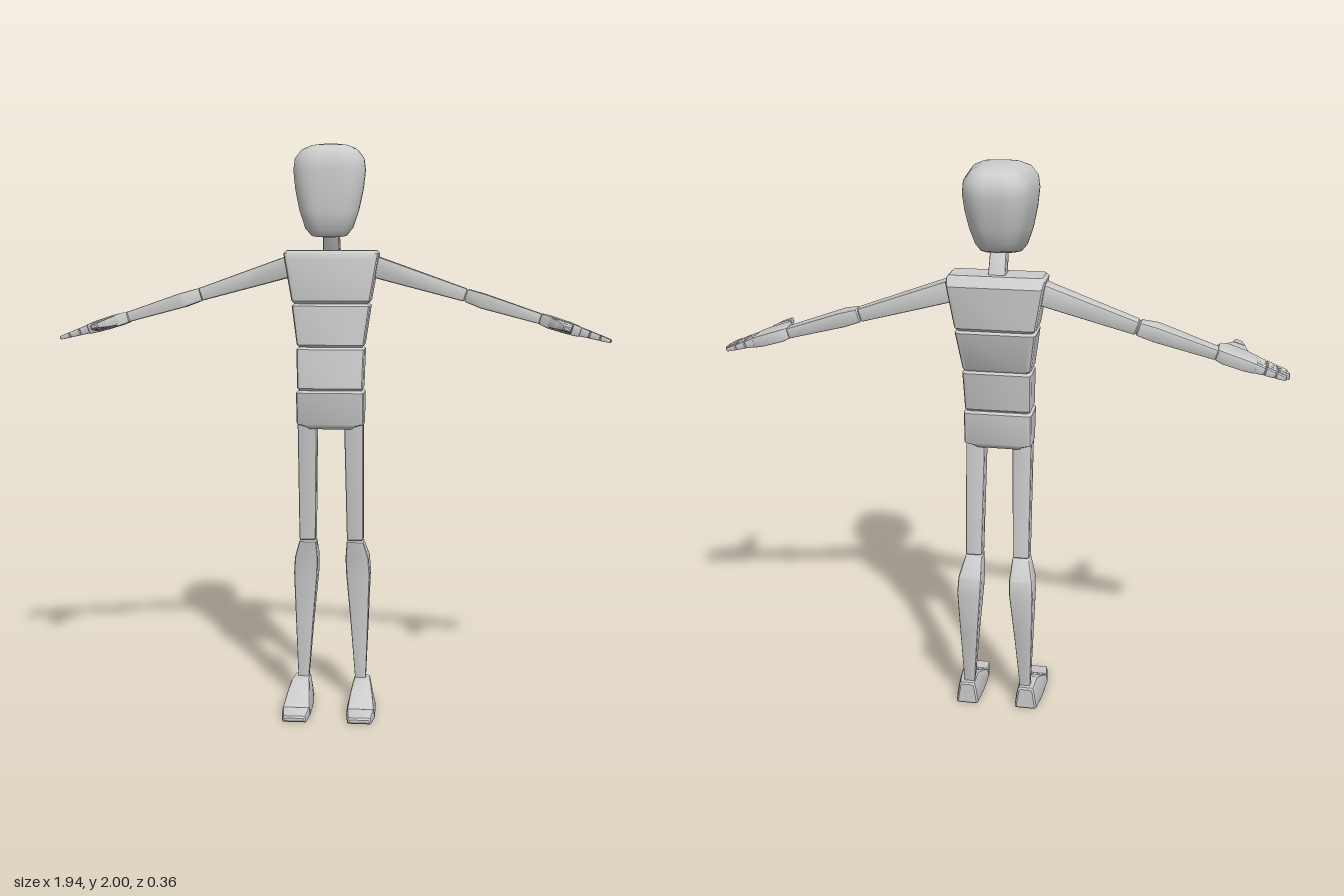
import * as THREE from 'three';
import { toCreasedNormals } from 'three/addons/utils/BufferGeometryUtils.js';

const material = new THREE.MeshStandardMaterial({ color: 0xcccccc });

// Section: [t, u0, u1, v0, v1, taper, tilt]; taper widens u towards v1, tilt leans t along v.
// Axis 'y': u = x, v = z.  Axis 'x': u = y, v = z.  Axis 'z': u = x, v = y.
const place = {
  x: (u, v, t) => [t, u, v],
  y: (u, v, t) => [u, t, v],
  z: (u, v, t) => [u, v, t],
};

function loft(axis, sections, round = 0.25, steps = 2) {
  const pos = [], index = [], n = 4 * (steps + 1);
  for (const [t, u0, u1, v0, v1, taper = 0, tilt = 0] of sections) {
    const hu = (u1 - u0) / 2, hv = (v1 - v0) / 2, r = round * Math.min(hu, hv);
    for (let c = 0; c < 4; c++) for (let i = 0; i <= steps; i++) {
      const a = (c + i / steps) * Math.PI / 2;
      const su = c === 0 || c === 3 ? 1 : -1, sv = c < 2 ? 1 : -1;
      const dv = sv * (hv - r) + r * Math.sin(a);
      const du = (su * (hu - r) + r * Math.cos(a)) * (1 + taper * dv / hv);
      const v = (v0 + v1) / 2 + dv;
      pos.push(...place[axis]((u0 + u1) / 2 + du, v, t + tilt * v));
    }
  }
  const rows = sections.length;
  for (let j = 0; j < rows - 1; j++) for (let i = 0; i < n; i++) {
    const a = j * n + i, b = j * n + (i + 1) % n;
    index.push(a, b, b + n, a, b + n, a + n);
  }
  // End caps
  for (const row of [0, rows - 1]) {
    const [t, u0, u1, v0, v1, , tilt = 0] = sections[row];
    const v = (v0 + v1) / 2, centre = pos.length / 3;
    pos.push(...place[axis]((u0 + u1) / 2, v, t + tilt * v));
    for (let i = 0; i < n; i++) {
      const a = row * n + i, b = row * n + (i + 1) % n;
      if (row === 0) index.push(centre, b, a); else index.push(centre, a, b);
    }
  }
  const geo = new THREE.BufferGeometry();
  geo.setAttribute('position', new THREE.Float32BufferAttribute(pos, 3));
  geo.setIndex(index);
  return axis === 'y' ? flip(geo) : geo;
}

function flip(geo) {
  geo.setIndex(Array.from(geo.index.array).reverse());
  return geo;
}

// Loft whose two ends have bevelled rims; sections run in increasing t
function block(axis, sections, bevel = 0.008, round = 0.25) {
  const inset = ([t, u0, u1, v0, v1, ...rest]) =>
    [t, u0 + bevel, u1 - bevel, v0 + bevel, v1 - bevel, ...rest];
  const shift = ([t, ...rest], d) => [t + d, ...rest];
  const first = sections[0], last = sections[sections.length - 1];
  return loft(axis, [inset(first), shift(first, bevel), ...sections.slice(1, -1),
    shift(last, -bevel), inset(last)], round);
}

export function createModel() {
  const model = new THREE.Group();
  model.name = 'mannequin';

  const add = (name, geo, crease = 0.55) => {
    const mesh = new THREE.Mesh(toCreasedNormals(geo, crease), material);
    mesh.name = name;
    model.add(mesh);
  };
  const addPair = (name, geo, matrix) => {
    if (matrix) geo.applyMatrix4(matrix);
    add(name + 'Left', geo);
    add(name + 'Right', flip(geo.clone().scale(-1, 1, 1)));
  };

  // Head: rounded block with a sloping jaw, narrower at the back
  const headRows = [
    [1.7, 0.04, -0.085, 0.07, -0.2],
    [1.705, 0.058, -0.11, 0.092, -0.2],
    [1.73, 0.077, -0.132, 0.11, -0.19],
    [1.785, 0.096, -0.15, 0.119, -0.13],
    [1.85, 0.11, -0.165, 0.121, -0.06],
    [1.91, 0.117, -0.175, 0.12, 0],
    [1.95, 0.112, -0.174, 0.115, 0],
    [1.98, 0.09, -0.15, 0.096, 0],
    [1.995, 0.06, -0.11, 0.06, 0],
    [2.0, 0.03, -0.07, 0.03, 0],
  ];
  add('head', loft('y', headRows.map(([y, w, z0, z1, tilt]) =>
    [y, -w, w, z0, z1, 0.12, tilt]), 0.7, 6), 1.4);
  add('neck', block('y', [
    [1.6, -0.03, 0.03, -0.1, -0.04], [1.75, -0.027, 0.027, -0.035, 0.02]], 0.004));

  // Torso: four stacked blocks
  add('chest', block('y', [
    [1.458, -0.138, 0.138, -0.13, 0.015], [1.61, -0.163, 0.163, -0.138, 0.012],
    [1.642, -0.166, 0.166, -0.115, 0.005]], 0.01));
  add('ribs', block('y', [
    [1.308, -0.118, 0.118, -0.093, 0.03], [1.458, -0.137, 0.137, -0.128, 0.016]]));
  add('waist', block('y', [
    [1.158, -0.115, 0.115, -0.072, 0.05], [1.308, -0.119, 0.119, -0.093, 0.031]]));
  add('pelvis', block('y', [
    [1.02, -0.085, 0.085, -0.062, 0.03], [1.038, -0.118, 0.118, -0.068, 0.035],
    [1.158, -0.119, 0.119, -0.075, 0.051]]));

  // Arms: modelled along x from the shoulder, then swung down
  const swing = new THREE.Matrix4().makeRotationZ(-0.3).setPosition(0.16, 1.582, 0);
  addPair('upperArm', block('x', [
    [-0.03, -0.038, 0.038, -0.1, -0.025], [0.14, -0.031, 0.031, -0.1, -0.037],
    [0.325, -0.023, 0.023, -0.1, -0.046]], 0.006), swing);
  addPair('forearm', block('x', [
    [0.322, -0.023, 0.023, -0.1, -0.045], [0.385, -0.027, 0.025, -0.095, -0.016],
    [0.6, -0.018, 0.018, -0.084, -0.03]], 0.006), swing);
  addPair('palm', block('x', [
    [0.59, -0.019, 0.019, -0.08, -0.005], [0.622, -0.022, 0.021, -0.09, 0.028],
    [0.69, -0.021, 0.02, -0.09, 0.026], [0.735, -0.018, 0.017, -0.085, 0.018]], 0.006), swing);

  // Four fingers of three joints each, thinning towards the tip
  const reach = [0.835, 0.847, 0.847, 0.84];
  reach.forEach((tip, f) => {
    const z = -0.072 + f * 0.025;
    for (let k = 0; k < 3; k++) {
      const at = (q) => {
        const h = 0.016 - 0.0033 * q, w = 0.0128 - 0.0007 * q;
        return [0.725 + (tip - 0.725) * q / 3, -h, h, z - w, z + w];
      };
      addPair('finger' + (f + 1) + 'Joint' + (k + 1), block('x', [at(k), at(k + 1)], 0.003), swing);
    }
  });
  addPair('thumbBase', block('z', [
    [0.0, 0.612, 0.705, -0.017, 0.017], [0.04, 0.623, 0.698, -0.017, 0.017],
    [0.095, 0.643, 0.692, -0.013, 0.013]], 0.004), swing);
  addPair('thumbTip', block('z', [
    [0.093, 0.644, 0.691, -0.013, 0.013], [0.157, 0.656, 0.682, -0.008, 0.008]], 0.004), swing);

  // Legs
  addPair('thigh', block('y', [
    [0.608, 0.056, 0.115, -0.077, -0.02], [1.06, 0.048, 0.116, -0.042, 0.022]], 0.006));
  addPair('shin', block('y', [
    [0.08, 0.085, 0.124, -0.08, -0.054], [0.3, 0.068, 0.132, -0.108, -0.048],
    [0.48, 0.052, 0.138, -0.133, -0.041], [0.54, 0.05, 0.134, -0.123, -0.032],
    [0.61, 0.055, 0.116, -0.078, -0.02]], 0.006));

  // Feet: sloping instep and a flat toe piece
  addPair('foot', block('z', [
    [-0.1, 0.075, 0.145, 0, 0.088, -0.2], [-0.02, 0.071, 0.154, 0, 0.092, -0.24],
    [0.04, 0.067, 0.16, 0, 0.065, -0.15], [0.106, 0.066, 0.164, 0, 0.032, -0.06]], 0.006));
  addPair('toes', block('z', [
    [0.104, 0.066, 0.164, 0, 0.03, -0.05], [0.18, 0.074, 0.155, 0, 0.022, -0.05]], 0.006));

  return model;
}
